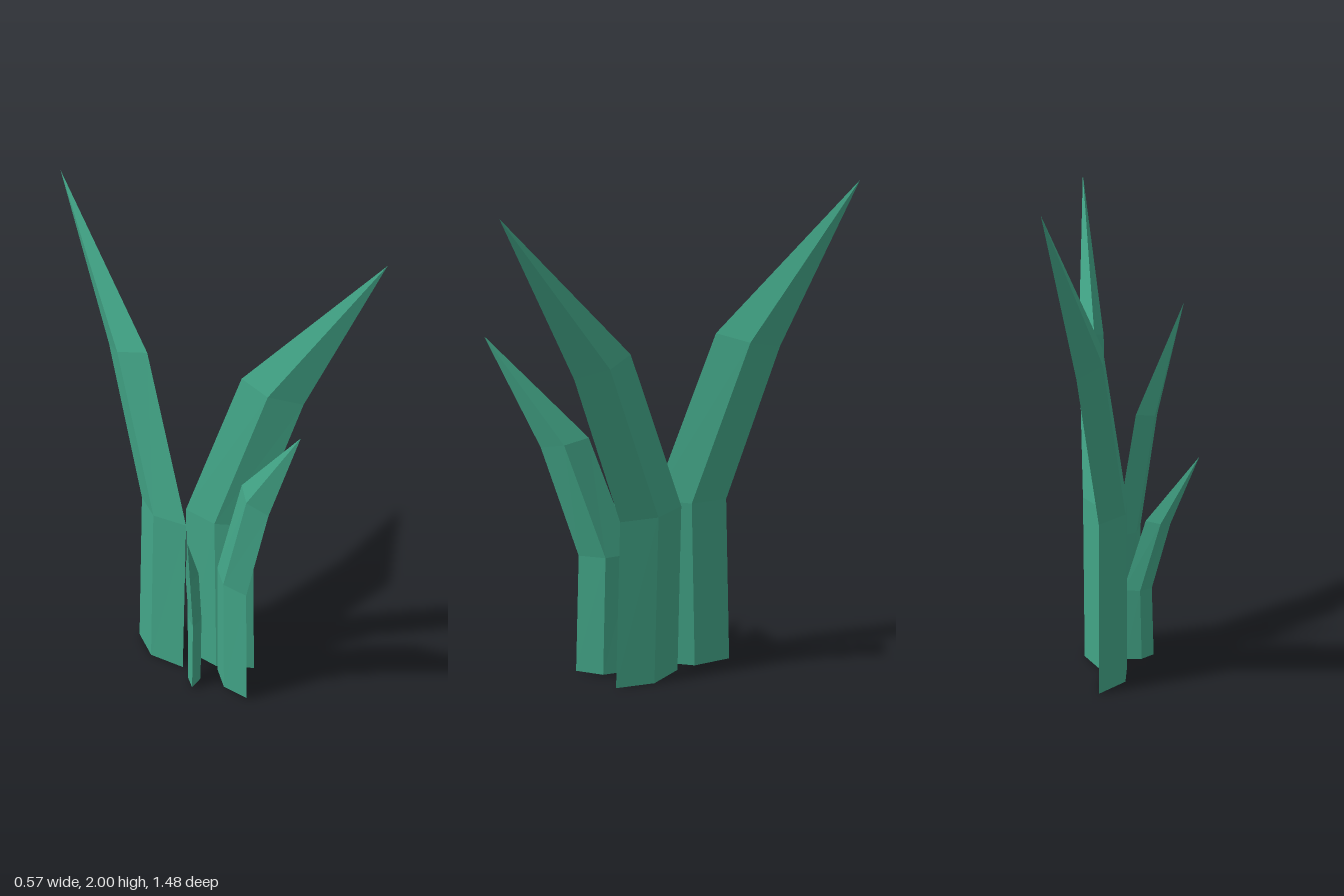
import * as THREE from 'three';

const material = new THREE.MeshStandardMaterial({ color: 0x42a587, flatShading: true });

// Each blade: half-vector of its wide axis (x, z), half thickness,
// centres of the base, knee and bend sections, drop of the outer edge at the bend, tip
const blades = [
  { name: 'backBlade', wide: [0.033, -0.145], thin: 0.0535,
    base: [0.014, 0, -0.11], knee: [0.017, 0.713, -0.093], bend: [0.068, 1.373, -0.318],
    drop: 0.03, tip: [0.163, 2, -0.742] },
  { name: 'frontTallBlade', wide: [0.04, 0.143], thin: 0.0515,
    base: [0.125, 0, 0.132], knee: [0.125, 0.71, 0.113], bend: [0.177, 1.345, 0.325],
    drop: 0.03, tip: [0.285, 1.955, 0.742] },
  { name: 'frontMiddleBlade', wide: [-0.0375, 0.103], thin: 0.04,
    base: [0.009, 0.01, 0.281], knee: [0.0125, 0.518, 0.267], bend: [-0.043, 0.99, 0.415],
    drop: 0.02, tip: [-0.162, 1.42, 0.70] },
  { name: 'smallBlade', wide: [-0.055, 0.033], thin: 0.027,
    base: [-0.057, 0.008, 0.131], knee: [-0.05, 0.312, 0.128], bend: [-0.128, 0.594, 0.173],
    drop: 0.013, tip: [-0.285, 0.855, 0.275] },
];

// Diamond section: outer edge, side, inner edge, side (anticlockwise from above)
function section([x, y, z], [wx, wz], thin, scale, drop) {
  const k = thin / Math.hypot(wx, wz);
  const a = wx * scale, b = wz * scale;
  return [
    [x + a, y - drop, z + b],
    [x + wz * k, y, z - wx * k],
    [x - a, y + drop, z - b],
    [x - wz * k, y, z + wx * k],
  ];
}

function bladeGeometry({ wide, thin, base, knee, bend, drop, tip }) {
  const rings = [
    section(base, wide, thin, 1.03, 0),
    section(knee, wide, thin, 1, 0.004),
    section(bend, wide, thin, 0.87, drop),
  ];
  const points = [...rings.flat(), tip];
  const index = [0, 2, 1, 0, 3, 2]; // bottom cap
  for (let i = 0; i < 4; i++) {
    const j = (i + 1) % 4;
    for (let r = 0; r < 8; r += 4) {
      index.push(r + i, r + j, r + 4 + j, r + i, r + 4 + j, r + 4 + i);
    }
    index.push(8 + i, 8 + j, 12); // point
  }
  const indexed = new THREE.BufferGeometry();
  indexed.setAttribute('position', new THREE.Float32BufferAttribute(points.flat(), 3));
  indexed.setIndex(index);
  const geometry = indexed.toNonIndexed();
  geometry.computeVertexNormals();
  return geometry;
}

export function createModel() {
  const group = new THREE.Group();
  group.name = 'grassTuft';
  for (const blade of blades) {
    const mesh = new THREE.Mesh(bladeGeometry(blade), material);
    mesh.name = blade.name;
    group.add(mesh);
  }
  return group;
}
